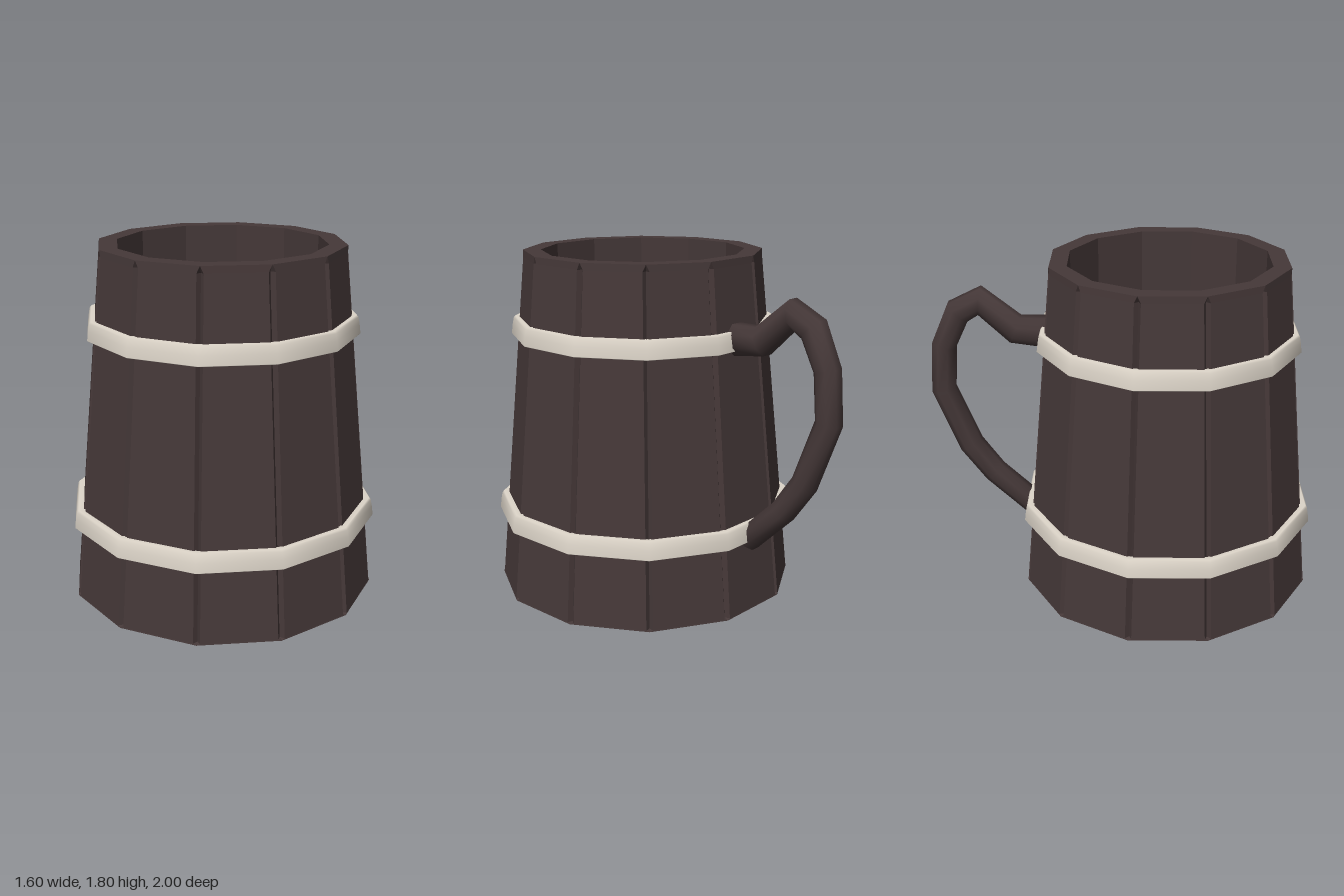
import * as THREE from 'three';

const SIDES = 12;
const wood = new THREE.MeshStandardMaterial({ color: 0x453838 });
wood.name = 'dark wood';
const bone = new THREE.MeshStandardMaterial({ color: 0xddd5c9 });
bone.name = 'pale hoop';

// Skin a list of closed rings, each counter-clockwise about the direction of travel
function loft(rings, flat) {
  const n = rings[0].length;
  const index = [];
  for (let i = 0; i < rings.length - 1; i++) {
    for (let j = 0; j < n; j++) {
      const k = (j + 1) % n;
      const a = i * n + j, b = i * n + k, c = a + n, d = b + n;
      index.push(a, b, d, a, d, c);
    }
  }
  let geo = new THREE.BufferGeometry().setFromPoints(rings.flat());
  geo.setIndex(index);
  if (flat) geo = geo.toNonIndexed();
  geo.computeVertexNormals();
  return geo;
}

function part(name, geometry, material) {
  const mesh = new THREE.Mesh(geometry, material);
  mesh.name = name;
  return mesh;
}

// Twelve-sided ring whose corners are notched to make the gaps between staves
function staveRing(y, r, notch) {
  const pts = [];
  const at = (angle, radius) => pts.push(new THREE.Vector3(Math.sin(angle) * radius, y, Math.cos(angle) * radius));
  const half = notch * 0.6;
  for (let i = 0; i < SIDES; i++) {
    const a = (i / SIDES) * Math.PI * 2;
    const lip = r - half * Math.tan(Math.PI / SIDES);
    at(a - half / r, lip);
    at(a, r - notch);
    at(a + half / r, lip);
  }
  return pts;
}

// Hollow tapered tankard body: underside, outer wall, rim, inner wall, floor
function buildBody() {
  const rows = [
    [0, 0.001, 0], [0, 0.8, 0], [0.006, 0.799, 0.028], [1.765, 0.628, 0.028],
    [1.8, 0.625, 0], [1.8, 0.532, 0], [0.12, 0.532, 0], [0.12, 0.001, 0],
  ];
  return loft(rows.map(([y, r, notch]) => staveRing(y, r, notch)), true);
}

// Band that leans inward and rounds off towards its upper edge
function buildHoop(y, r) {
  const profile = [
    [r - 0.06, 0], [r - 0.003, 0], [r, 0.003], [r - 0.006, 0.05],
    [r - 0.013, 0.086], [r - 0.022, 0.097], [r - 0.06, 0.092],
  ].map(([x, h]) => new THREE.Vector2(x, y + h));
  return new THREE.LatheGeometry(profile, SIDES);
}

// Handle swept through [distance from axis, height, half thickness]
function buildHandle() {
  const path = [
    [0.62, 1.405, 0.082], [0.8, 1.42, 0.075], [0.98, 1.575, 0.073], [1.095, 1.515, 0.07],
    [1.18, 1.33, 0.064], [1.198, 1.08, 0.064], [1.071, 0.75, 0.064],
    [0.949, 0.58, 0.063], [0.735, 0.375, 0.063],
  ];
  const pts = path.map(([r, y]) => new THREE.Vector3(0, y, r));
  const side = new THREE.Vector3(1, 0, 0);
  const rings = pts.map((p, i) => {
    const before = p.clone().sub(pts[Math.max(i - 1, 0)]).normalize();
    const after = pts[Math.min(i + 1, pts.length - 1)].clone().sub(p).normalize();
    const n = side.clone().cross(before.add(after).normalize());
    return Array.from({ length: 8 }, (_, j) => {
      const a = ((j + 0.5) / 8) * Math.PI * 2;
      const h = path[i][2] * 1.06;
      return p.clone().addScaledVector(n, Math.cos(a) * h).addScaledVector(side, Math.sin(a) * h);
    });
  });
  const cap = (p) => Array.from({ length: 8 }, () => p.clone());
  return loft([cap(pts[0]), ...rings, cap(pts[pts.length - 1])], false);
}

export function createModel() {
  const model = new THREE.Group();
  model.name = 'tankard';

  const mug = new THREE.Group();
  mug.name = 'mug';
  mug.position.z = 0.2;
  mug.rotation.y = THREE.MathUtils.degToRad(-4.5);
  mug.add(part('staveBody', buildBody(), wood));
  mug.add(part('lowerHoop', buildHoop(0.38, 0.802), bone));
  mug.add(part('upperHoop', buildHoop(1.357, 0.7), bone));

  // Handle sits in the middle of a back stave
  const handle = part('handle', buildHandle(), wood);
  handle.rotation.y = THREE.MathUtils.degToRad(165);
  mug.add(handle);

  model.add(mug);
  return model;
}
